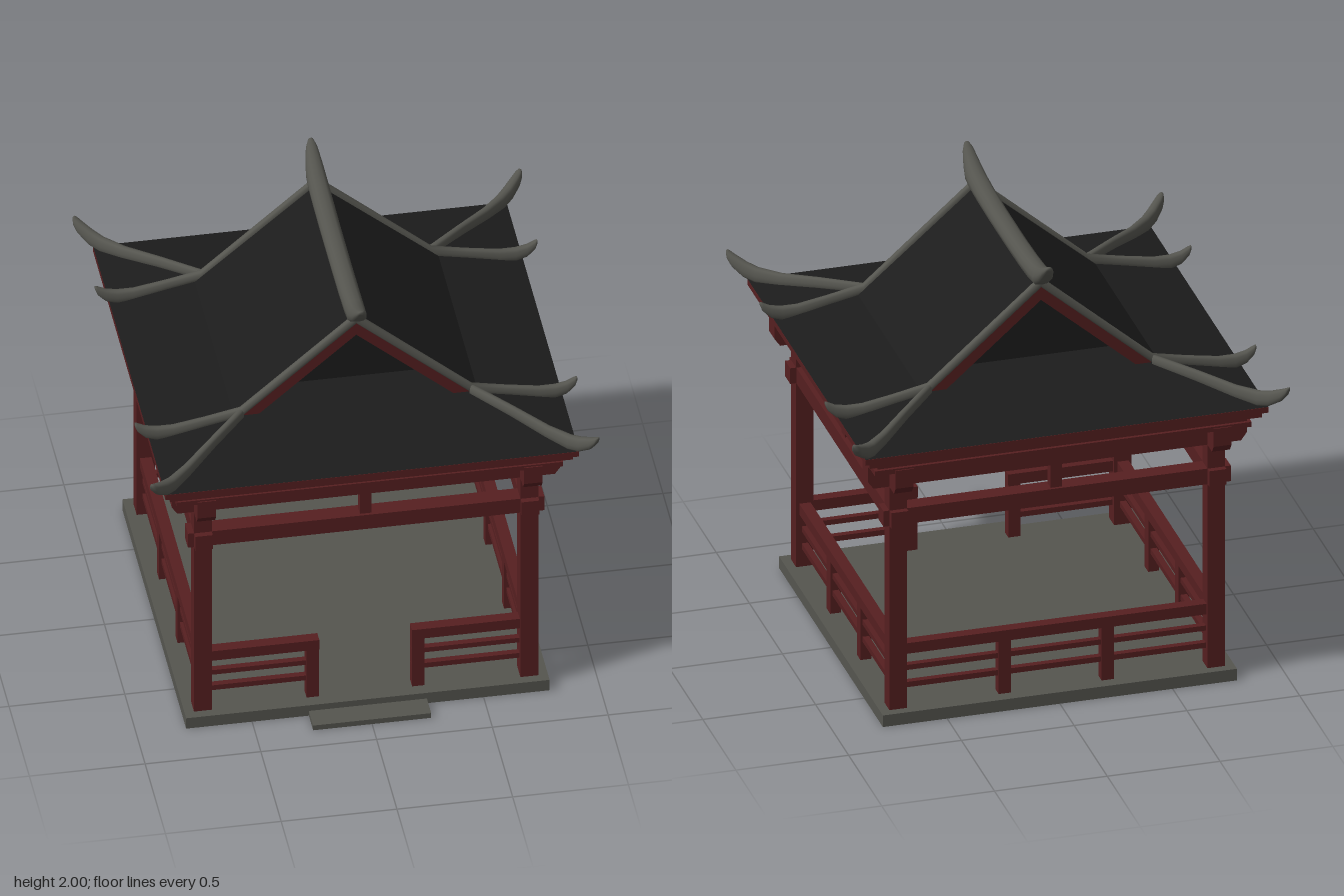
import * as THREE from 'three';

const red = new THREE.MeshStandardMaterial({ color: 0x561f20 });
red.name = 'dark red timber';
const grey = new THREE.MeshStandardMaterial({ color: 0x55554f });
grey.name = 'grey stone';
const black = new THREE.MeshStandardMaterial({ color: 0x1c1c1c });
black.name = 'black roof tile';

function add(parent, name, geometry, material) {
  const mesh = new THREE.Mesh(geometry, material);
  mesh.name = name;
  parent.add(mesh);
  return mesh;
}

// Box given by its minimum and maximum corners
function block(parent, name, material, x0, x1, y0, y1, z0, z1) {
  const mesh = add(parent, name, new THREE.BoxGeometry(x1 - x0, y1 - y0, z1 - z0), material);
  mesh.position.set((x0 + x1) / 2, (y0 + y1) / 2, (z0 + z1) / 2);
  return mesh;
}

// Rounded-square sweep along a horizontal direction; ribs are [distance, bottom, top, halfWidth]
function sweep(origin, dir, ribs, sides = 12) {
  const side = new THREE.Vector3(0, 1, 0).cross(dir).normalize();
  const soften = (v) => Math.sign(v) * Math.abs(v) ** 0.75;
  const close = ([s, b, t]) => [s, (b + t) / 2, (b + t) / 2, 0];
  const rings = [close(ribs[0]), ...ribs, close(ribs[ribs.length - 1])];
  const pos = [], index = [];
  rings.forEach(([s, b, t, w], i) => {
    for (let j = 0; j < sides; j++) {
      const a = (j / sides) * Math.PI * 2;
      const up = soften(Math.sin(a));
      const across = w * soften(Math.cos(a)) * (1 - 0.15 * up);
      const p = origin.clone().addScaledVector(dir, s).addScaledVector(side, across);
      pos.push(p.x, (b + t) / 2 + ((t - b) / 2) * up, p.z);
      if (i < rings.length - 1) {
        const k = (j + 1) % sides, m = i * sides, n = m + sides;
        index.push(m + j, m + k, n + j, m + k, n + k, n + j);
      }
    }
  });
  const g = new THREE.BufferGeometry();
  g.setAttribute('position', new THREE.Float32BufferAttribute(pos, 3));
  g.setIndex(index);
  g.computeVertexNormals();
  return g;
}

// Outline in x and y, extruded between two z values
function slab(points, z0, z1) {
  const shape = new THREE.Shape(points.map(([x, y]) => new THREE.Vector2(x, y)));
  return new THREE.ExtrudeGeometry(shape, { depth: z1 - z0, bevelEnabled: false }).translate(0, 0, z0);
}

function chevron(halfWidth, base, apex, inHalfWidth, inApex) {
  return [[-halfWidth, base], [-inHalfWidth, base], [0, inApex], [inHalfWidth, base], [halfWidth, base], [0, apex]];
}

// One railing along x; an open one leaves a doorway between the posts
function railing(open) {
  const group = new THREE.Group();
  group.name = 'railing';
  const spans = open ? [[-0.68, -0.2], [0.2, 0.68]] : [[-0.68, 0.68]];
  for (const [a, b] of spans) {
    block(group, 'topRail', red, a, b, 0.305, 0.355, -0.025, 0.025);
    block(group, 'middleRail', red, a, b, 0.222, 0.246, -0.014, 0.014);
    block(group, 'lowerRail', red, a, b, 0.14, 0.165, -0.014, 0.014);
  }
  for (const x of [-0.228, 0.228]) {
    block(group, 'railPost', red, x - 0.027, x + 0.027, 0.024, 0.31, -0.024, 0.024);
  }
  return group;
}

export function createModel() {
  const model = new THREE.Group();
  model.name = 'pavilion';

  // Stone floor, hollow underneath, and entrance step
  block(model, 'floor', grey, -0.785, 0.785, 0.03, 0.055, -0.785, 0.785);
  block(model, 'step', grey, -0.255, 0.255, 0, 0.025, 0.78, 0.89);

  // Square corner pillars
  for (const x of [-0.705, 0.705]) {
    for (const z of [-0.705, 0.705]) {
      block(model, 'pillar', red, x - 0.039, x + 0.039, 0.024, 1.2, z - 0.039, z + 0.039);
    }
  }

  // Four sides: floor rim, railing, tie beam, strut and eave beam, whose ends cross at the corners
  const eaveOutline = [[-0.84, 1.24], [-0.84, 1.155], [-0.815, 1.12], [0.815, 1.12], [0.84, 1.155], [0.84, 1.24]];
  for (let i = 0; i < 4; i++) {
    const side = new THREE.Group();
    side.name = 'sideFrame';
    side.rotation.y = (i * Math.PI) / 2;
    block(side, 'floorRim', grey, -0.785, 0.765, 0, 0.032, 0.765, 0.785);
    const rail = railing(i === 0);
    rail.position.z = 0.705;
    side.add(rail);
    block(side, 'tieBeam', red, -0.77, 0.77, 0.931, 1.005, 0.667, 0.743);
    block(side, 'strut', red, -0.025, 0.025, 1.0, 1.13, 0.68, 0.73);
    add(side, 'eaveBeam', slab(eaveOutline, 0.665, 0.745), red);
    model.add(side);
  }

  // Stepped cornice under the eaves
  for (const [h, y0, y1] of [[0.835, 1.225, 1.248], [0.82, 1.248, 1.282], [0.87, 1.282, 1.312], [0.893, 1.312, 1.338]]) {
    block(model, 'cornice', red, -h, h, y0, y1, -h, h);
  }

  // Low skirt roof, four flat slopes
  const skirt = new THREE.CylinderGeometry(0.45 * Math.SQRT2, 0.893 * Math.SQRT2, 0.09, 4)
    .rotateY(Math.PI / 4).toNonIndexed();
  skirt.computeVertexNormals();
  add(model, 'skirtRoof', skirt, black).position.y = 1.384;

  // Upper gabled roof with deeply recessed gable walls and red gable boards
  add(model, 'gableWalls', slab([[-0.49, 1.4], [0.49, 1.4], [0, 1.835]], -0.32, 0.32), black);
  add(model, 'upperRoof', slab(chevron(0.53, 1.41, 1.865, 0.505, 1.845), -0.498, 0.498), black);
  for (const z of [-0.405, 0.405]) {
    add(model, 'gableBoard', slab(chevron(0.505, 1.41, 1.847, 0.43, 1.785), z - 0.094, z + 0.094), red);
  }

  // Main ridge, with both ends sweeping upward
  const half = [[0.15, 1.85, 1.915, 0.044], [0.32, 1.853, 1.922, 0.044], [0.45, 1.857, 1.935, 0.043],
    [0.51, 1.863, 1.95, 0.041], [0.56, 1.9, 1.97, 0.034], [0.6, 1.945, 1.99, 0.025], [0.624, 1.98, 2.0, 0.012]];
  const mirrored = half.map(([s, ...r]) => [-s, ...r]).reverse();
  add(model, 'mainRidge', sweep(new THREE.Vector3(), new THREE.Vector3(0, 0, 1), [...mirrored, ...half]), grey);

  // Gable ridges and corner hip ridges with curled tips
  const gableRibs = [[0, 1.845, 1.892, 0.018], [0.5, 1.41, 1.455, 0.018], [0.65, 1.378, 1.424, 0.018],
    [0.79, 1.342, 1.4, 0.02], [0.86, 1.338, 1.4, 0.022], [0.91, 1.355, 1.41, 0.021], [0.945, 1.39, 1.428, 0.017],
    [0.955, 1.415, 1.432, 0.009]];
  const hipRibs = [[0.5, 1.41, 1.453, 0.018], [0.65, 1.38, 1.43, 0.018], [0.78, 1.348, 1.405, 0.021],
    [0.86, 1.338, 1.405, 0.025], [0.9, 1.35, 1.418, 0.026], [0.94, 1.385, 1.44, 0.023], [0.957, 1.415, 1.452, 0.018],
    [0.964, 1.438, 1.456, 0.009]];
  for (const x of [-1, 1]) {
    for (const z of [-1, 1]) {
      add(model, 'gableRidge', sweep(new THREE.Vector3(0, 0, z * 0.49), new THREE.Vector3(x, 0, 0), gableRibs), grey);
      add(model, 'hipRidge', sweep(new THREE.Vector3(), new THREE.Vector3(x, 0, z), hipRibs), grey);
    }
  }
  return model;
}
